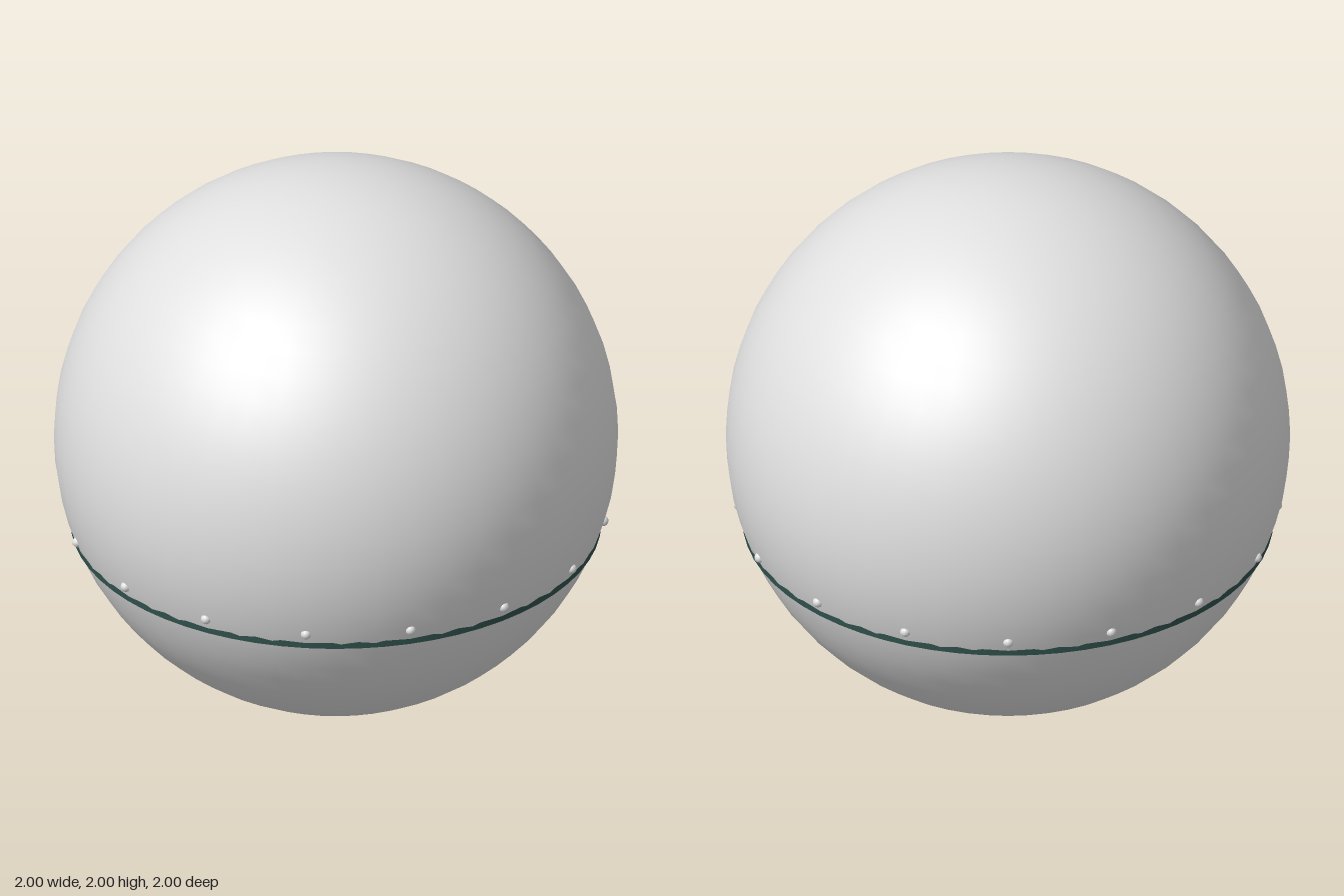
import * as THREE from 'three';

export function createModel() {
  const model = new THREE.Group();
  const material = (name, color) => {
    const m = new THREE.MeshStandardMaterial({ color });
    m.name = name;
    return m;
  };
  const paleGrey = material('pale grey', 0xe0e0e0);
  const darkGreen = material('dark green', 0x2f4f4a);

  const add = (name, geometry, mat, x, y, z, parent = model) => {
    const mesh = new THREE.Mesh(geometry, mat);
    mesh.name = name;
    mesh.position.set(x, y, z);
    parent.add(mesh);
    return mesh;
  };

  // Large smooth globe
  add('globe', new THREE.SphereGeometry(1, 48, 32), paleGrey, 0, 1, 0);

  // Floor disc whose rim shows as a thin band around the globe
  add('floorDisc', new THREE.CylinderGeometry(0.941, 0.941, 0.026, 64), darkGreen, 0, 0.658, 0);

  // Ring of small beads just above the disc, half sunk in the globe
  const beads = new THREE.Group();
  beads.name = 'beads';
  model.add(beads);
  const beadGeometry = new THREE.SphereGeometry(0.019, 12, 8);
  const count = 16;
  for (let i = 0; i < count; i++) {
    const a = (i / count) * Math.PI * 2;
    add('bead', beadGeometry, paleGrey, 0.953 * Math.sin(a), 0.708, 0.953 * Math.cos(a), beads);
  }
  return model;
}
